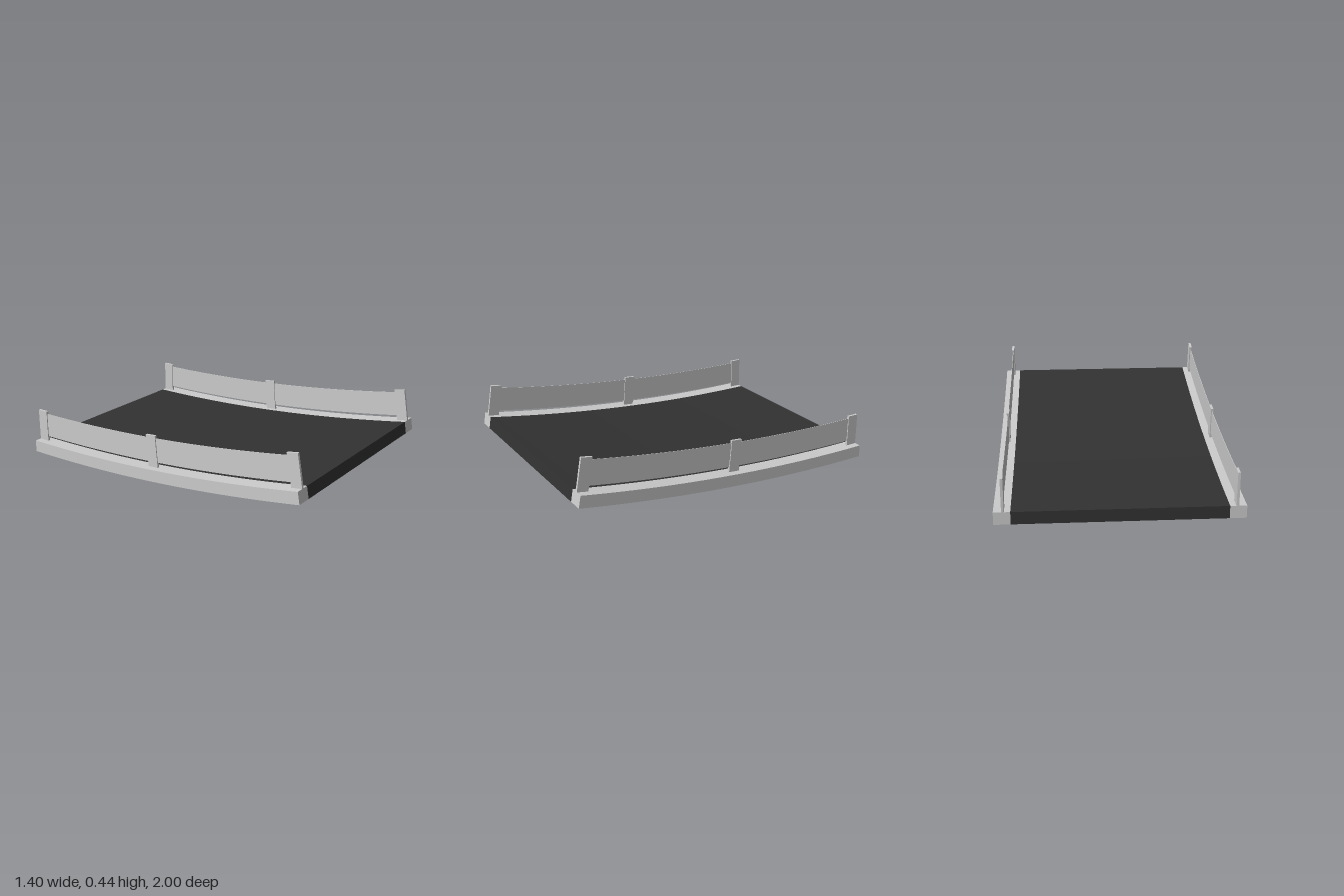
import * as THREE from 'three';

const LOW_Z = -0.93, CURVE = 0.0448;
const DECK_H = 0.075, POST_H = 0.2, POST_W = 0.07;

// Point at distance `offset` along the normal of the upward-curving underside
function onCurve(z, offset) {
  const angle = Math.atan(2 * CURVE * (z - LOW_Z));
  return {
    y: CURVE * (z - LOW_Z) ** 2 + offset * Math.cos(angle),
    z: z - offset * Math.sin(angle),
    angle,
  };
}

// Box bent to follow the curve
function curvedBar(name, x, width, low, high, z0, z1, material) {
  const geo = new THREE.BoxGeometry(1, 1, 1, 1, 1, 24);
  const p = geo.attributes.position;
  for (let i = 0; i < p.count; i++) {
    const q = onCurve(
      THREE.MathUtils.lerp(z0, z1, p.getZ(i) + 0.5),
      THREE.MathUtils.lerp(low, high, p.getY(i) + 0.5));
    p.setXYZ(i, x + p.getX(i) * width, q.y, q.z);
  }
  geo.computeVertexNormals();
  const mesh = new THREE.Mesh(geo, material);
  mesh.name = name;
  return mesh;
}

export function createModel() {
  const model = new THREE.Group();
  model.name = 'curvedRoadSection';
  const grey = new THREE.MeshStandardMaterial({ color: 0xcccccc });
  const asphalt = new THREE.MeshStandardMaterial({ color: 0x323232 });

  // Road deck
  model.add(curvedBar('roadDeck', 0, 1.21, 0, DECK_H, -1, 1, asphalt));

  for (const [side, s] of [['left', 1], ['right', -1]]) {
    // Kerb and thin guard rail
    model.add(curvedBar(side + 'Kerb', s * 0.6525, 0.095, 0, DECK_H, -1, 1, grey));
    model.add(curvedBar(side + 'GuardRail', s * 0.647, 0.003, 0.105, 0.258, -0.935, 0.935, grey));

    // Posts standing square to the deck
    [-0.965, -0.037, 0.965].forEach((z, i) => {
      const post = new THREE.Mesh(new THREE.BoxGeometry(0.015, POST_H, POST_W), grey);
      const q = onCurve(z, DECK_H + POST_H / 2);
      post.position.set(s * 0.647, q.y, q.z);
      post.rotation.x = -q.angle;
      post.name = side + 'Post' + (i + 1);
      model.add(post);
    });
  }
  return model;
}
